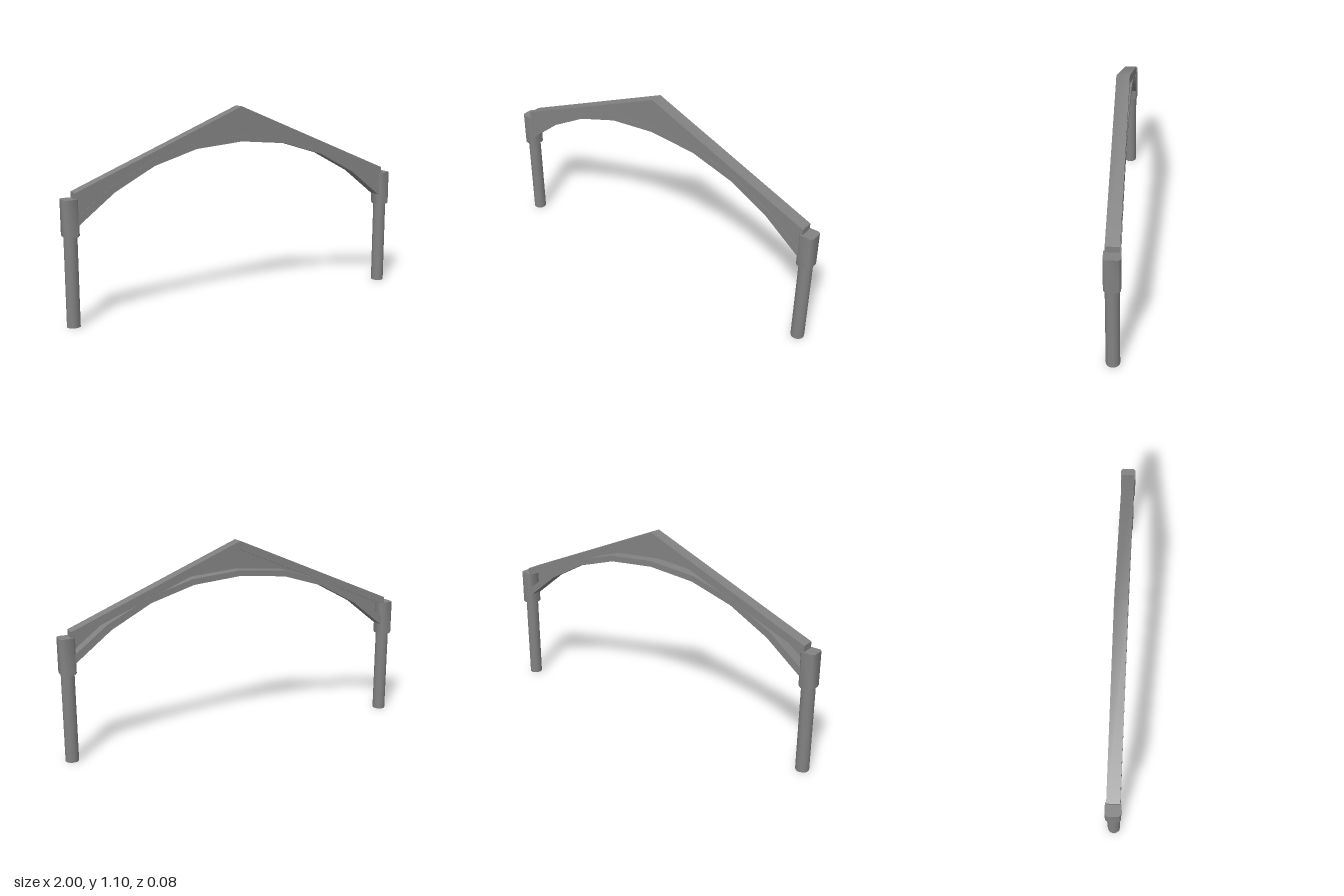
import * as THREE from 'three';
import { toCreasedNormals } from 'three/addons/utils/BufferGeometryUtils.js';

const material = new THREE.MeshStandardMaterial({ color: 0x828282 });
const CREASE = 0.85;

// Lower edge and upper edge of the arch, from centre to the +x end
const archLow = [[0, 0.907], [0.27, 0.882], [0.51, 0.808], [0.73, 0.688], [0.925, 0.533]];
const archHigh = [[0, 0.938], [0.277, 0.914], [0.522, 0.839], [0.747, 0.72], [0.935, 0.573]];

const mirror = (pts) => pts.map(([x, y]) => [-x, y]);
// Full symmetric line from the -x end to the +x end
const fullLine = (half) => [...mirror(half).reverse(), ...half.slice(1)];

// Flat outline given thickness along z, smooth over gentle corners
function slab(points, zBack, zFront) {
  const shape = new THREE.Shape(points.map(([x, y]) => new THREE.Vector2(x, y)));
  const geometry = new THREE.ExtrudeGeometry(shape, { depth: zFront - zBack, bevelEnabled: false });
  geometry.translate(0, 0, zBack);
  return toCreasedNormals(geometry, CREASE);
}

// Upright block with chamfered vertical edges
function block(w, d, yLow, yHigh) {
  const c = 0.012;
  const outline = [
    [-w + c, -d], [w - c, -d], [w, -d + c], [w, d - c],
    [w - c, d], [-w + c, d], [-w, d - c], [-w, -d + c],
  ];
  return slab(outline, yLow, yHigh).rotateX(-Math.PI / 2);
}

function addPart(group, name, geometry, x = 0, y = 0) {
  const mesh = new THREE.Mesh(geometry, material);
  mesh.name = name;
  mesh.position.set(x, y, 0);
  group.add(mesh);
}

export function createModel() {
  const group = new THREE.Group();
  group.name = 'gableArch';

  // Pitched beam along the roof line
  addPart(group, 'gableBeam', slab([
    [-0.94, 0.70], [-0.94, 0.655], [0, 1.05], [0.94, 0.655], [0.94, 0.70], [0, 1.097],
  ], -0.035, 0.035));

  // Curved brace beneath it, slightly proud on both faces
  addPart(group, 'archBeam', slab([...fullLine(archLow), ...fullLine(archHigh).reverse()], -0.036, 0.037));

  // Thin front panel closing the space between them
  const panelLow = archLow.map(([x, y]) => [x, y + 0.012]);
  addPart(group, 'frontPanel', slab([
    ...fullLine(panelLow), [0.938, 0.69], [0, 1.087], [-0.938, 0.69],
  ], 0.026, 0.035));

  // Posts, each with a bracket and a small lip under it
  for (const side of [-1, 1]) {
    const x = side * 0.96;
    addPart(group, 'post', new THREE.CylinderGeometry(0.036, 0.036, 0.5, 12), x, 0.25);
    addPart(group, 'postBracket', block(0.04, 0.042, 0.481, 0.668), x);
    addPart(group, 'bracketLip', block(0.037, 0.039, 0.475, 0.481), x);
  }
  return group;
}
